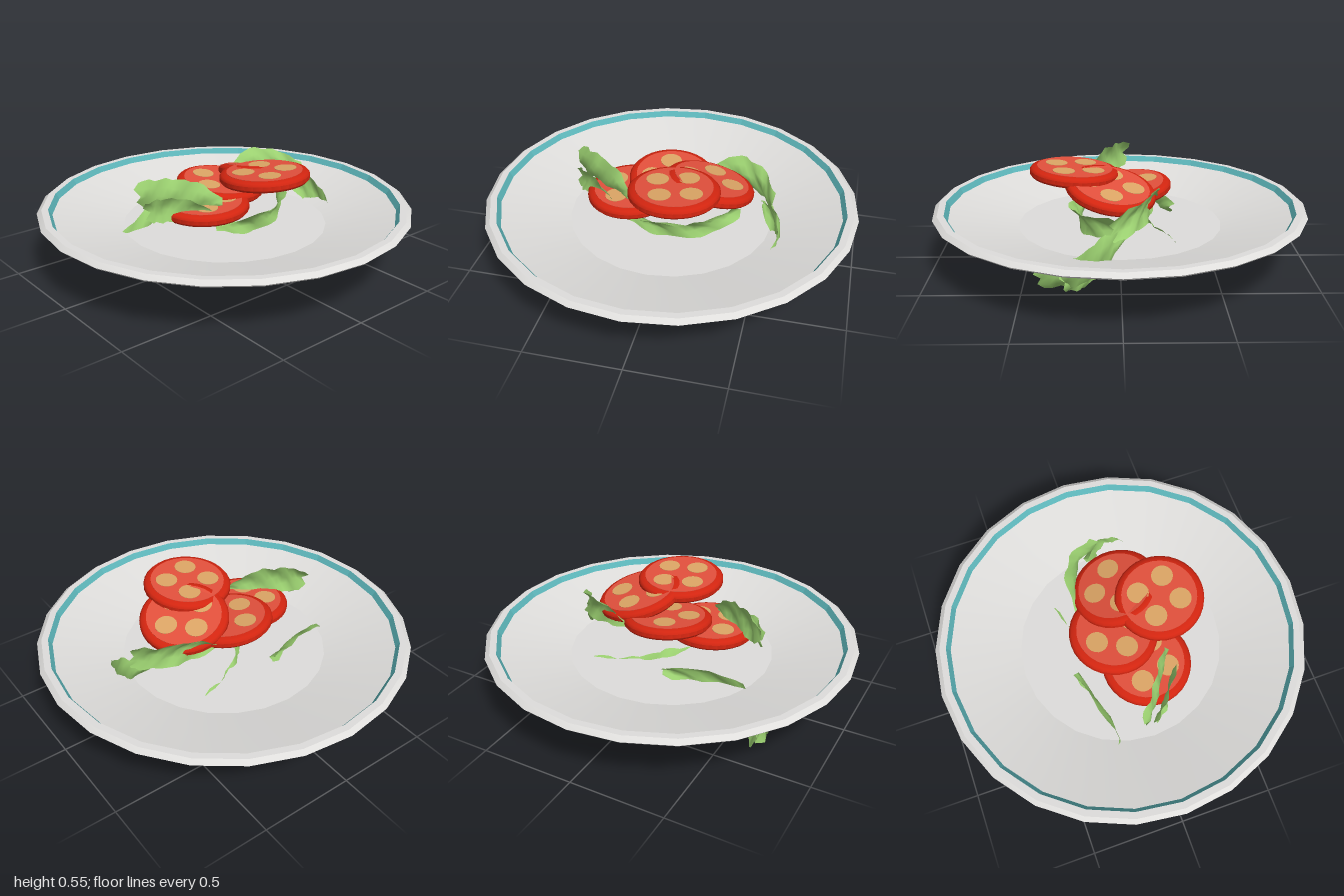
import * as THREE from 'three';
import { toCreasedNormals } from 'three/addons/utils/BufferGeometryUtils.js';

const material = (name, color, extra = {}) => {
  const m = new THREE.MeshStandardMaterial({ color, ...extra });
  m.name = name;
  return m;
};

const V = (p) => new THREE.Vector3(...p);

export function createModel() {
  const china = material('china', 0xdedddb);
  const teal = material('teal glaze', 0x5cb4b8);
  const skin = material('tomato skin', 0xd32510);
  const flesh = material('tomato flesh', 0xe2503c);
  const seed = material('tomato seeds', 0xdca565);
  const green = material('lettuce', 0x9bd070, { side: THREE.DoubleSide });

  const model = new THREE.Group();
  model.name = 'saladPlate';

  const add = (parent, name, geometry, mat) => {
    const mesh = new THREE.Mesh(geometry, mat);
    mesh.name = name;
    parent.add(mesh);
    return mesh;
  };
  const lathe = (profile, sides, crease) => toCreasedNormals(
    new THREE.LatheGeometry(profile.map(([r, y]) => new THREE.Vector2(r, y)), sides), crease);

  // Plate: underside and rim, painted band, inner dish
  const plate = new THREE.Group();
  plate.name = 'plate';
  model.add(plate);
  add(plate, 'plateOutside', lathe([[0, 0.15], [0.56, 0.15], [0.61, 0.19], [0.99, 0.315],
    [1, 0.325], [0.975, 0.345], [0.94, 0.345]], 24, 0.2), china);
  add(plate, 'plateBand', lathe([[0.94, 0.345], [0.92, 0.315]], 24, 0.2), teal);
  add(plate, 'plateInside', lathe([[0.92, 0.315], [0.55, 0.225], [0, 0.225]], 24, 0.2), china);

  // Tomato slices: rounded skin with flesh discs and four seed pockets on both faces
  const R = 0.235, H = 0.03;
  const skinShape = lathe([[0, -H], [0.2, -H], [0.224, -0.023], [R, -0.01], [R, 0.01],
    [0.224, 0.023], [0.2, H], [0, H]], 32, 0.7);
  const fleshShape = new THREE.CylinderGeometry(0.198, 0.198, 2 * H + 0.004, 32);
  const seedShape = new THREE.CylinderGeometry(0.058, 0.058, 2 * H + 0.008, 18);

  // slopeX and slopeZ are the rise of the slice along each axis
  const tomatoSlice = (name, position, slopeX, slopeZ, turn) => {
    const slice = new THREE.Group();
    slice.name = name;
    slice.position.set(...position);
    slice.quaternion.setFromUnitVectors(
      new THREE.Vector3(0, 1, 0), new THREE.Vector3(-slopeX, 1, -slopeZ).normalize());
    add(slice, 'skin', skinShape, skin);
    add(slice, 'flesh', fleshShape, flesh);
    for (let i = 0; i < 4; i++) {
      const a = turn + i * Math.PI / 2;
      add(slice, 'seedPocket', seedShape, seed)
        .position.set(0.112 * Math.cos(a), 0, 0.112 * Math.sin(a));
    }
    model.add(slice);
  };
  tomatoSlice('rightTomatoSlice', [-0.2, 0.382, 0.075], 0.03, -0.02, -2.6);
  tomatoSlice('backTomatoSlice', [0, 0.42, -0.04], -0.06, -0.1, -1.9);
  tomatoSlice('leftTomatoSlice', [0.22, 0.475, 0.05], -0.2, 0.19, -1.57);
  tomatoSlice('topTomatoSlice', [0.07, 0.527, 0.24], 0.01, 0.07, -2.65);

  // Lettuce: a cupped ribbon along a path, spread along a width direction that turns
  const leaf = (name, path, across0, across1, width, cup, seedNumber = 1) => {
    const curve = new THREE.CatmullRomCurve3(path.map(V));
    const rows = 14, cols = 4, positions = [], index = [];
    const a0 = V(across0).normalize(), a1 = V(across1).normalize();
    for (let i = 0; i <= rows; i++) {
      const t = i / rows;
      const centre = curve.getPoint(t);
      const across = a0.clone().lerp(a1, t).normalize();
      const out = curve.getTangent(t).cross(across).normalize();
      const w = width * Math.min(1, 0.25 + 2.4 * t) * (1 - 0.25 * t * t)
        * (1 + 0.08 * Math.sin(i * 2.1 + seedNumber));
      for (let j = 0; j <= cols; j++) {
        const s = j / cols * 2 - 1;
        const ripple = 0.008 * Math.sin(i * 1.3 + j * 2.2 + seedNumber);
        const p = centre.clone().addScaledVector(across, s * w / 2)
          .addScaledVector(out, cup * s * s + ripple);
        // Ragged tip
        if (i === rows) p.addScaledVector(curve.getTangent(1), 0.03 * (j % 2));
        positions.push(p.x, p.y, p.z);
        if (i < rows && j < cols) {
          const a = i * (cols + 1) + j, b = a + cols + 1;
          index.push(a, b, a + 1, b, b + 1, a + 1);
        }
      }
    }
    const g = new THREE.BufferGeometry();
    g.setAttribute('position', new THREE.Float32BufferAttribute(positions, 3));
    g.setIndex(index);
    g.computeVertexNormals();
    add(model, name, g, green);
  };

  // Upright leaves beside the tomatoes
  leaf('rightUprightLeaf', [[-0.18, 0.42, 0.2], [-0.3, 0.45, 0.12], [-0.42, 0.475, 0.05], [-0.52, 0.475, -0.03]],
    [0, 1, 0.1], [-0.1, 1, -0.2], 0.19, 0.025, 1);
  leaf('rightInnerLeaf', [[-0.22, 0.36, 0.24], [-0.33, 0.4, 0.16], [-0.44, 0.42, 0.08], [-0.5, 0.4, 0.02]],
    [0, 1, 0], [-0.2, 1, -0.3], 0.14, -0.02, 3);
  leaf('leftUprightLeaf', [[0.17, 0.42, -0.15], [0.33, 0.45, -0.14], [0.46, 0.43, -0.08], [0.54, 0.38, 0.04]],
    [0, 1, -0.4], [-0.15, 1, -0.1], 0.17, -0.03, 2);

  // Leaves lying in the dish and showing beneath it
  leaf('leftHangingLeaf', [[0.5, 0.34, -0.04], [0.595, 0.27, 0.08], [0.59, 0.17, 0.22], [0.51, 0.11, 0.4]],
    [0.1, 1, 0], [0.15, 1, 0.25], 0.17, 0.02, 5);
  leaf('leftLowerLeaf', [[0.22, 0.17, 0.08], [0.36, 0.125, 0.13], [0.48, 0.1, 0.2], [0.56, 0.11, 0.27]],
    [0, 1, 0.4], [0.2, 1, 0.3], 0.16, 0.03, 4);
  leaf('rightHangingLeaf', [[-0.1, 0.27, -0.28], [-0.3, 0.24, -0.22], [-0.5, 0.17, -0.17], [-0.61, 0.11, -0.24], [-0.66, 0.08, -0.36]],
    [0, 1, -0.1], [-0.3, 1, 0], 0.17, 0.02, 6);
  leaf('rightLowerLeaf', [[-0.37, 0.18, -0.12], [-0.5, 0.12, -0.17], [-0.62, 0.085, -0.24], [-0.69, 0.08, -0.3]],
    [0, 1, 0.3], [-0.3, 1, 0.2], 0.165, 0.03, 8);
  leaf('backLeaf', [[-0.12, 0.2, 0.06], [-0.02, 0.17, -0.14], [0.13, 0.145, -0.24], [0.31, 0.16, -0.31]],
    [0, 1, 0.2], [0, 1, 0], 0.2, 0.03, 7);
  leaf('smallBackLeaf', [[-0.34, 0.17, -0.1], [-0.23, 0.15, -0.17], [-0.11, 0.17, -0.2]],
    [0, 1, 0.2], [0, 1, 0], 0.13, 0.02, 9);
  leaf('frontLeaf', [[-0.2, 0.3, 0.17], [0.02, 0.29, 0.22], [0.22, 0.3, 0.17], [0.36, 0.33, 0.03]],
    [0, 1, 0.5], [0, 1, 0.3], 0.14, 0.03, 10);

  return model;
}
